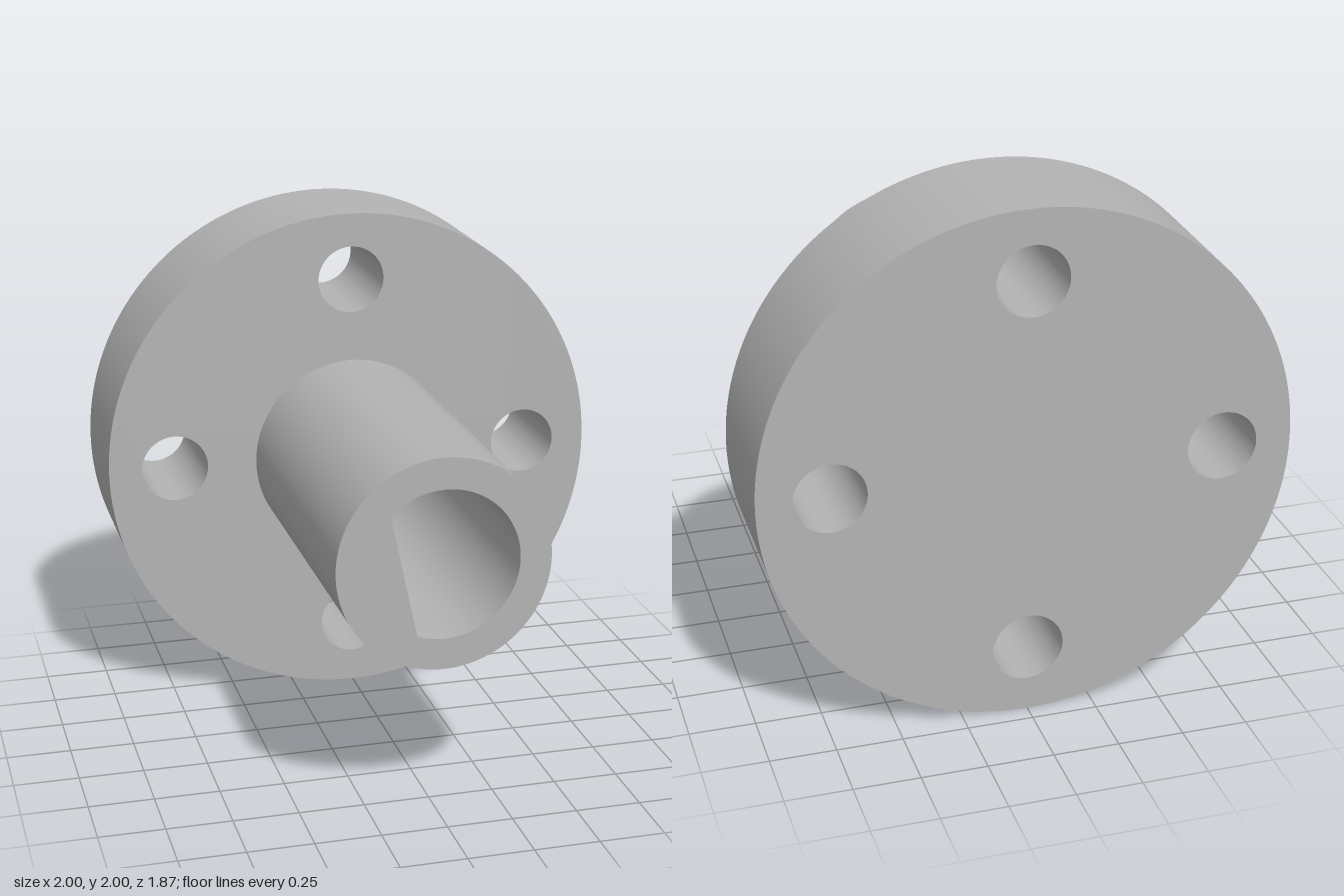
import * as THREE from 'three';
import { toCreasedNormals } from 'three/addons/utils/BufferGeometryUtils.js';

const BACK = -0.933, FACE = -0.4, FRONT = 0.933;

function disc(radius) {
  const shape = new THREE.Shape();
  shape.absarc(0, 0, radius, 0, Math.PI * 2, false);
  return shape;
}

// Extrude along z between two depths, smooth round walls, sharp rims
function extrude(name, shape, z0, z1, material) {
  const geometry = new THREE.ExtrudeGeometry(shape, {
    depth: z1 - z0, bevelEnabled: false, curveSegments: 96,
  });
  const mesh = new THREE.Mesh(toCreasedNormals(geometry, 0.5), material);
  mesh.name = name;
  mesh.position.set(0, 1, z0);
  return mesh;
}

export function createModel() {
  const group = new THREE.Group();
  group.name = 'flangedShaft';
  const metal = new THREE.MeshStandardMaterial({ color: 0xb4b4b4 });
  metal.name = 'grey metal';

  // Flange with four through holes
  const flange = disc(1);
  for (let i = 0; i < 4; i++) {
    const a = i * Math.PI / 2;
    const hole = new THREE.Path();
    hole.absarc(0.733 * Math.cos(a), 0.733 * Math.sin(a), 0.134, 0, Math.PI * 2, true);
    flange.holes.push(hole);
  }
  group.add(extrude('flange', flange, BACK, FACE, metal));

  // Hollow shaft with a D-shaped bore, its flat slightly tilted
  const shaft = disc(0.4);
  const bore = new THREE.Path();
  bore.absarc(0, 0, 0.282, THREE.MathUtils.degToRad(135), THREE.MathUtils.degToRad(-111), true);
  bore.closePath();
  shaft.holes.push(bore);
  group.add(extrude('shaft', shaft, FACE, FRONT, metal));

  return group;
}
